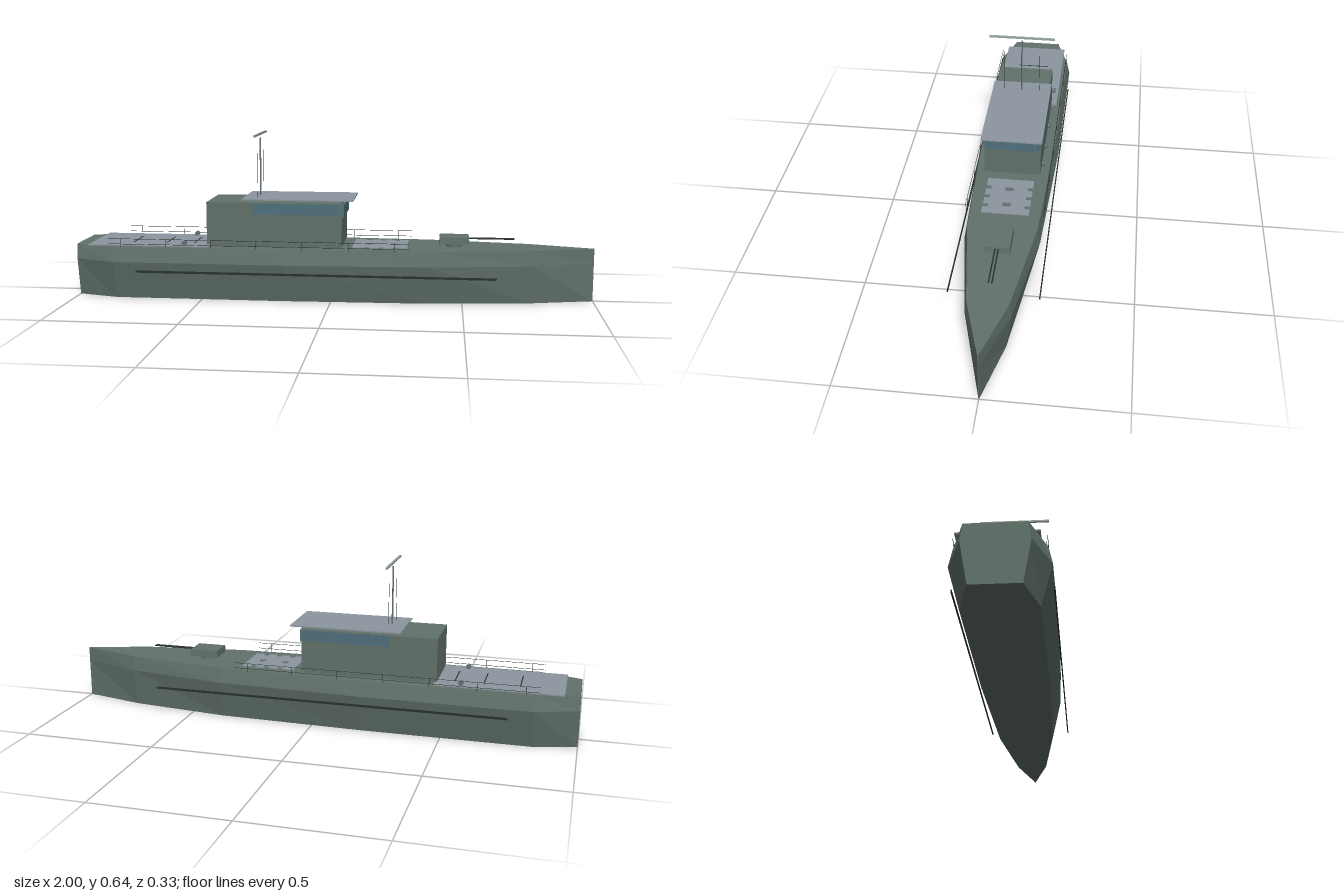
import * as THREE from 'three';

const mat = (color) => new THREE.MeshStandardMaterial({ color, flatShading: true, side: THREE.DoubleSide });
const HULL = mat(0x62726b), LIGHT = mat(0x8d979f), DARK = mat(0x2a3030);
const GLASS = mat(0x4f707c), STEEL = mat(0x66737c), RADAR = mat(0x9aa79c);

// Hull skin lofted through six-sided cross-sections, closed at the transom
function hullGeometry() {
  const stations = [[-1, 0.107], [-0.84, 0.163], [-0.2, 0.163], [0.37, 0.141], [0.76, 0.08], [1, 0.001]];
  const section = [[0.92, 0.205], [1, 0.147], [0.765, 0], [-0.765, 0], [-1, 0.147], [-0.92, 0.205]];
  const pos = [], index = [];
  for (const [x, w] of stations) for (const [f, y] of section) pos.push(x, y, w * f);
  const n = section.length;
  for (let s = 0; s < stations.length - 1; s++) {
    for (let i = 0; i < n; i++) {
      const a = s * n + i, b = s * n + (i + 1) % n;
      index.push(a, b, b + n, a, b + n, a + n);
    }
  }
  const last = (stations.length - 1) * n;
  for (let i = 1; i < n - 1; i++) index.push(0, i + 1, i, last, last + i, last + i + 1);
  const g = new THREE.BufferGeometry();
  g.setAttribute('position', new THREE.Float32BufferAttribute(pos, 3));
  g.setIndex(index);
  const flat = g.toNonIndexed();
  flat.computeVertexNormals();
  return flat;
}

export function createModel() {
  const root = new THREE.Group();
  root.name = 'patrolBoat';

  const add = (name, geo, material, x = 0, y = 0, z = 0) => {
    const m = new THREE.Mesh(geo, material);
    m.name = name;
    m.position.set(x, y, z);
    root.add(m);
    return m;
  };
  // Box given by its extents
  const box = (name, material, x0, x1, y0, y1, z0, z1) =>
    add(name, new THREE.BoxGeometry(x1 - x0, y1 - y0, z1 - z0), material,
      (x0 + x1) / 2, (y0 + y1) / 2, (z0 + z1) / 2);
  const post = (name, material, r, x, y0, y1, z, sides = 8) =>
    add(name, new THREE.CylinderGeometry(r, r, y1 - y0, sides), material, x, (y0 + y1) / 2, z);
  const rod = (name, material, r, x0, x1, y, z, sides = 6) => {
    const m = add(name, new THREE.CylinderGeometry(r, r, x1 - x0, sides), material, (x0 + x1) / 2, y, z);
    m.rotation.z = Math.PI / 2;
    return m;
  };

  add('hull', hullGeometry(), HULL);

  // Aft working deck with cross seams
  box('aftDeck', LIGHT, -0.945, -0.47, 0.204, 0.2085, -0.131, 0.131);
  for (const x of [-0.783, -0.65, -0.542])
    box('deckSeam', DARK, x - 0.002, x + 0.002, 0.208, 0.2095, -0.064, 0.064);

  // Foredeck pad with notches along its edges and two centre hatches
  const pad = new THREE.Shape();
  const edge = [[0.08, 0.09], [0.125, 0.09], [0.125, 0.07], [0.145, 0.07], [0.145, 0.09], [0.18, 0.09],
    [0.18, 0.07], [0.2, 0.07], [0.2, 0.09], [0.235, 0.09], [0.235, 0.07], [0.255, 0.07], [0.255, 0.09], [0.29, 0.09]];
  pad.setFromPoints([...edge, ...edge.map(([x, z]) => [x, -z]).reverse()].map(([x, z]) => new THREE.Vector2(x, z)));
  for (const x of [0.14, 0.235]) {
    const hole = new THREE.Path();
    hole.setFromPoints([[-1, -1], [-1, 1], [1, 1], [1, -1]].map(([u, v]) => new THREE.Vector2(x + u * 0.012, v * 0.016)));
    pad.holes.push(hole);
  }
  const foreDeck = add('foreDeckPad', new THREE.ExtrudeGeometry(pad, { depth: 0.003, bevelEnabled: false }), LIGHT, 0, 0.2085, 0);
  foreDeck.rotation.x = Math.PI / 2;

  // Deckhouse, windows and overhanging roof plate
  box('cabin', HULL, -0.48, 0.042, 0.213, 0.378, -0.11, 0.11);
  box('cabinBase', HULL, -0.47, 0.032, 0.204, 0.213, -0.1, 0.1);
  box('frontWindow', GLASS, 0.042, 0.05, 0.327, 0.374, -0.102, 0.102);
  box('roofPlate', LIGHT, -0.342, 0.085, 0.388, 0.393, -0.118, 0.118);

  // Mast, radar bar and whip aerials
  post('mast', STEEL, 0.003, -0.287, 0.378, 0.619, 0);
  box('radarBar', RADAR, -0.291, -0.283, 0.63, 0.637, -0.13, 0.13);

  // Twin gun on the foredeck
  post('gunBase', HULL, 0.03, 0.467, 0.204, 0.221, 0, 12);
  const turret = new THREE.BoxGeometry(0.115, 0.026, 0.096);
  const p = turret.attributes.position;
  for (let i = 0; i < p.count; i++) if (p.getY(i) > 0) p.setXYZ(i, p.getX(i) * 0.97, p.getY(i), p.getZ(i) * 0.97);
  turret.computeVertexNormals();
  add('gunTurret', turret, HULL, 0.468, 0.232, 0);

  for (const s of [-1, 1]) {
    box('sideWindow', GLASS, -0.3, 0.036, 0.334, 0.375, s * 0.111 - 0.0015, s * 0.111 + 0.0015);
    post('whipAerial', DARK, 0.0008, -0.287, 0.385, 0.566, s * 0.072, 5);
    rod('gunBarrel', DARK, 0.0025, 0.52, 0.697, 0.237, s * 0.006, 8);
    box('rubbingStrake', DARK, -0.75, 0.625, 0.108, 0.116, s * 0.164 - 0.002, s * 0.164 + 0.002);

    // Mooring drums beside the cabin
    for (const x of [-0.57, -0.437, -0.294, -0.15, -0.027]) {
      const drum = add('deckDrum', new THREE.CylinderGeometry(0.009, 0.009, 0.021, 10), STEEL, x, 0.217, s * 0.109);
      drum.rotation.x = Math.PI / 2;
    }

    // Guard rail
    for (let i = 0; i < 7; i++) post('railPost', DARK, 0.001, -0.81 + i * 0.176, 0.204, 0.236, s * 0.148, 5);
    rod('guardRail', DARK, 0.0009, -0.86, 0.3, 0.236, s * 0.148, 5);
    rod('lowerRail', DARK, 0.0009, -0.86, 0.3, 0.215, s * 0.145, 5);
  }
  return root;
}
